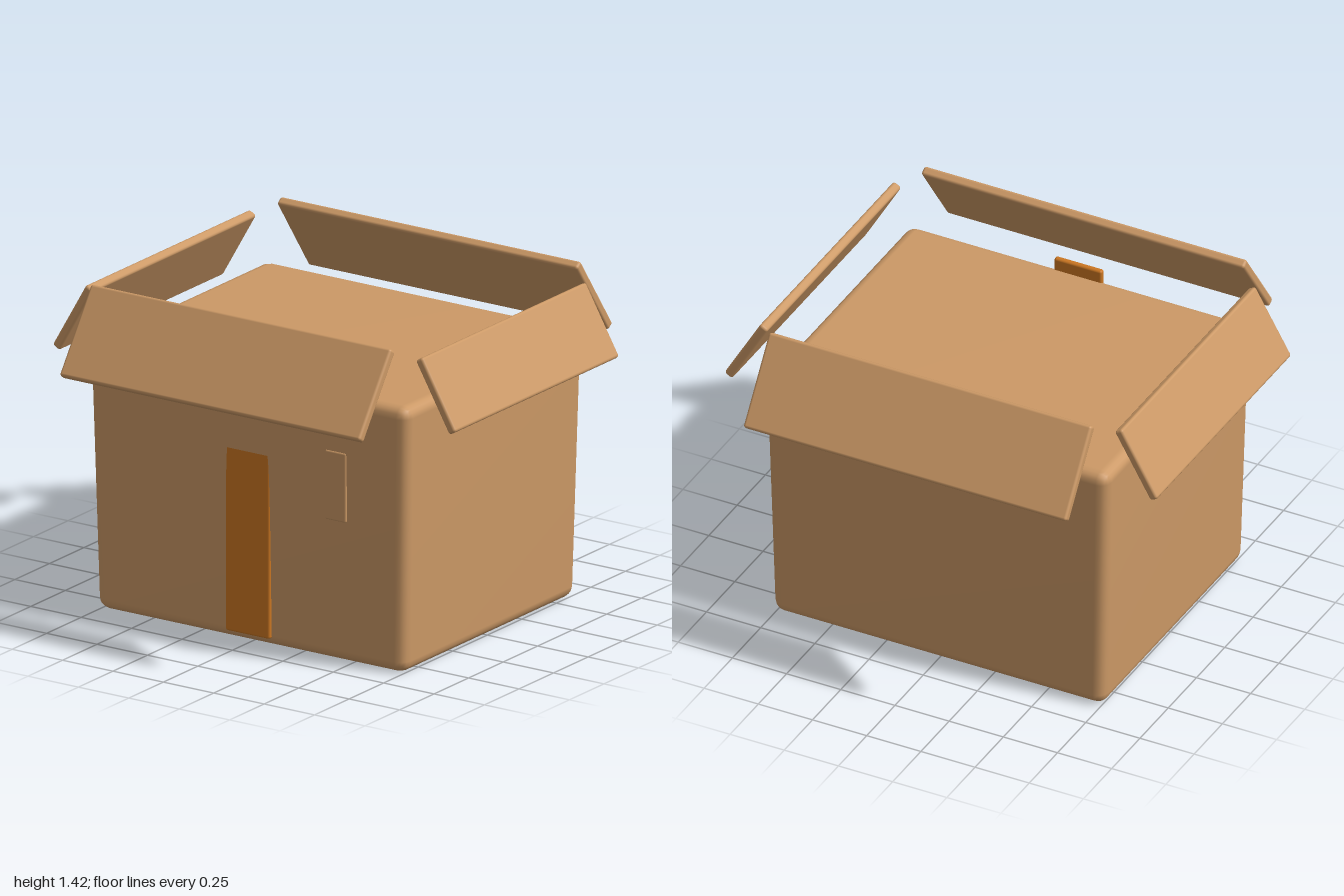
import * as THREE from 'three';
import { RoundedBoxGeometry } from 'three/addons/geometries/RoundedBoxGeometry.js';
import { mergeVertices } from 'three/addons/utils/BufferGeometryUtils.js';

const cardboard = new THREE.MeshStandardMaterial({ color: 0xcc9966 });
cardboard.name = 'cardboard';
const tapeOrange = new THREE.MeshStandardMaterial({ color: 0xcc7722 });
tapeOrange.name = 'tapeOrange';

// Box with softly bevelled edges, placed by its centre
function panel(name, material, size, radius, position) {
  const mesh = new THREE.Mesh(new RoundedBoxGeometry(...size, 2, radius), material);
  mesh.name = name;
  mesh.position.set(...position);
  return mesh;
}

// Body: rounded block that widens slightly towards the top
function createBody() {
  const height = 1.155;
  let geometry = new RoundedBoxGeometry(1.53, height, 1.25, 2, 0.05);
  const p = geometry.attributes.position;
  for (let i = 0; i < p.count; i++) {
    const t = p.getY(i) / height + 0.5;
    p.setX(i, p.getX(i) * (1 + 0.036 * t));
    p.setZ(i, p.getZ(i) * (1 + 0.038 * t));
  }
  geometry.deleteAttribute('normal');
  geometry.deleteAttribute('uv');
  geometry.clearGroups();
  geometry = mergeVertices(geometry, 1e-4);
  geometry.computeVertexNormals();
  const body = new THREE.Mesh(geometry, cardboard);
  body.name = 'body';
  body.position.y = height / 2 + 0.004;
  return body;
}

export function createModel() {
  const model = new THREE.Group();
  model.name = 'cardboardBox';
  model.add(createBody());

  // Open flaps, leaning outwards and down
  for (const side of [1, -1]) {
    const longFlap = panel(side > 0 ? 'frontFlap' : 'backFlap', cardboard,
      [1.49, 0.405, 0.04], 0.012, [0, 1.25, side * 0.787]);
    longFlap.rotation.x = -side * THREE.MathUtils.degToRad(35);
    const sideFlap = panel(side > 0 ? 'leftFlap' : 'rightFlap', cardboard,
      [0.04, 0.335, 1.19], 0.012, [side * 0.9, 1.225, 0]);
    sideFlap.rotation.z = side * THREE.MathUtils.degToRad(30);
    model.add(longFlap, sideFlap);
  }

  // Tape strip, sunk into the sloping front wall near the top
  model.add(panel('tape', tapeOrange, [0.22, 1.17, 0.026], 0.01, [0, 0.625, 0.629]));

  // Small raised tab on the front
  model.add(panel('tab', cardboard, [0.105, 0.3, 0.024], 0.008, [0.44, 0.765, 0.636]));
  return model;
}
